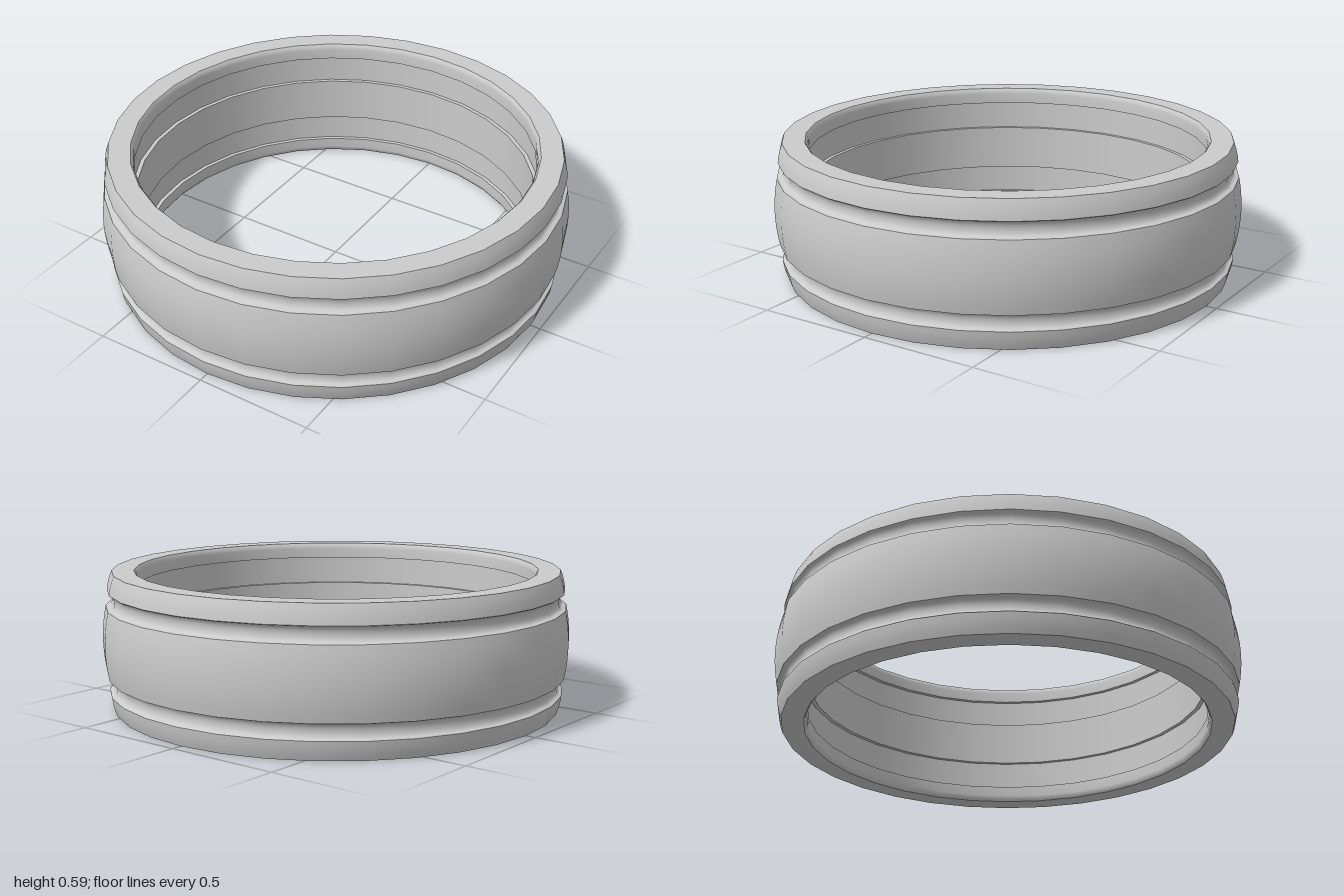
import * as THREE from 'three';

const SEGMENTS = 32;
const HEIGHT = 0.59;
const material = new THREE.MeshStandardMaterial({ color: 0xcccccc, side: THREE.DoubleSide });

export function createModel() {
  const ring = new THREE.Group();
  ring.name = 'ring';

  // one smooth run of the profile, as [radius, height] pairs; creases lie between runs
  const addRun = (name, points) => {
    const profile = points.map(([r, y]) => new THREE.Vector2(r, y));
    const mesh = new THREE.Mesh(new THREE.LatheGeometry(profile, SEGMENTS), material);
    mesh.name = name;
    ring.add(mesh);
  };

  // the same run above and below the middle, kept in the outward-facing order
  const addPair = (name, points) => {
    addRun('lower' + name, points);
    addRun('upper' + name, points.map(([r, y]) => [r, HEIGHT - y]).reverse());
  };

  // domed centre band
  const dome = [];
  for (let i = 0; i <= 10; i++) {
    const t = i / 5 - 1;
    dome.push([1 - 0.016 * t * t, HEIGHT / 2 + 0.147 * t]);
  }
  addRun('centreBand', dome);

  // rounded grooves beside the band
  const groove = [];
  for (let i = 0; i <= 8; i++) {
    const a = (i / 8) * Math.PI;
    groove.push([0.972 - 0.017 * Math.sin(a), 0.114 - 0.03 * Math.cos(a)]);
  }
  addPair('Groove', groove);
  addPair('GrooveOuterLip', [[0.977, 0.08], [0.972, 0.084]]);
  addPair('GrooveInnerLip', [[0.972, 0.144], [0.984, 0.148]]);

  // sloping outer edges and flat rims
  addPair('OuterEdge', [[0.956, 0], [0.966, 0.026], [0.973, 0.054], [0.977, 0.08]]);
  addPair('Rim', [[0.862, 0], [0.956, 0]]);

  // bore: eased ends, two shallow channels and a plain centre
  addPair('BoreEnd', [[0.85, 0.07], [0.85, 0.025], [0.854, 0.01], [0.862, 0]]);
  addPair('ChannelOuterStep', [[0.868, 0.07], [0.85, 0.07]]);
  addPair('Channel', [[0.868, 0.195], [0.868, 0.07]]);
  addPair('ChannelInnerStep', [[0.85, 0.195], [0.868, 0.195]]);
  addRun('boreCentre', [[0.85, 0.395], [0.85, 0.195]]);

  return ring;
}
